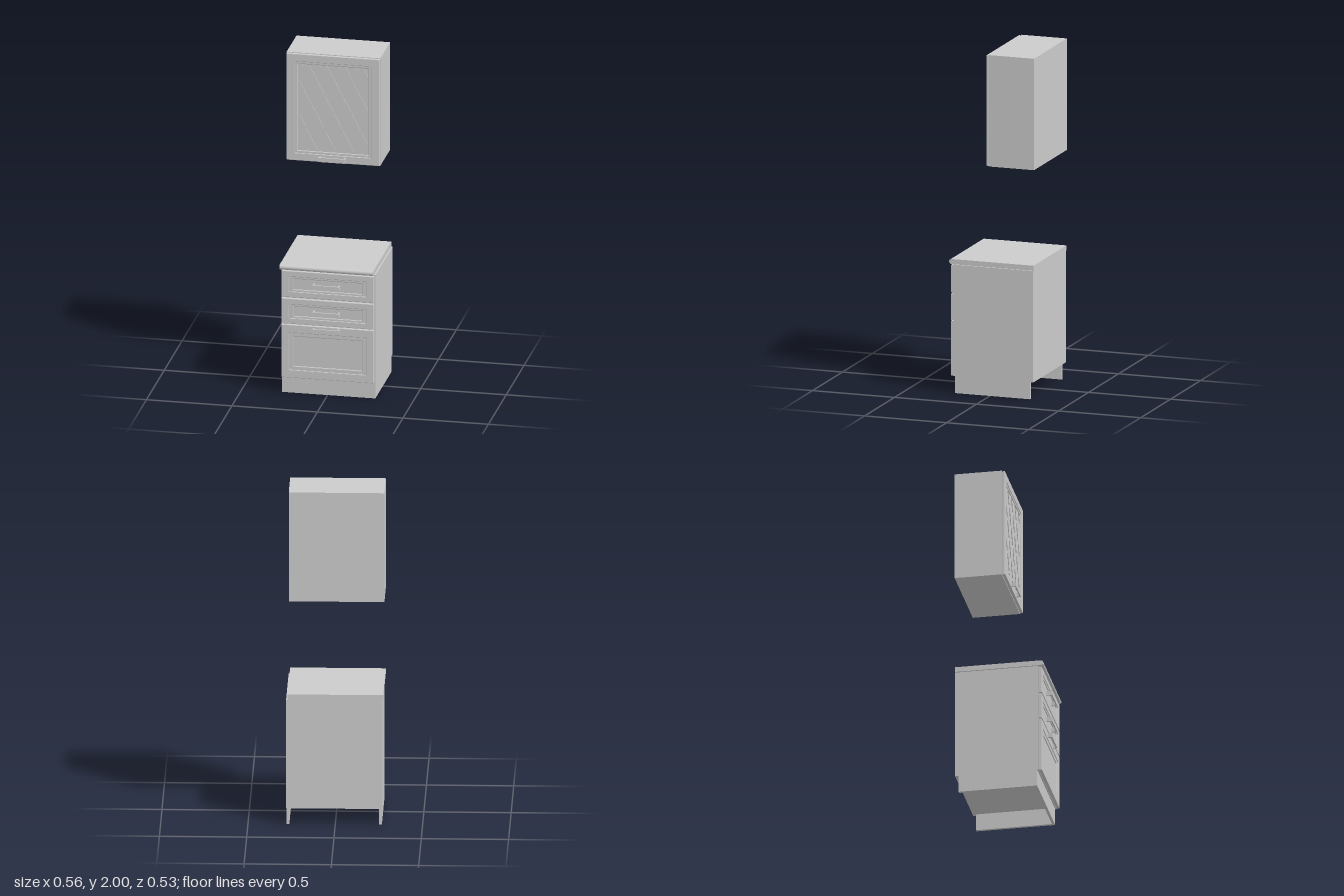
import * as THREE from 'three';

const material = new THREE.MeshStandardMaterial({ color: 0xcccccc });

function add(parent, name, geometry) {
  const mesh = new THREE.Mesh(geometry, material);
  mesh.name = name;
  parent.add(mesh);
  return mesh;
}

// Box given by its limits on each axis
function box(parent, name, x0, x1, y0, y1, z0, z1) {
  const mesh = add(parent, name, new THREE.BoxGeometry(x1 - x0, y1 - y0, z1 - z0));
  mesh.position.set((x0 + x1) / 2, (y0 + y1) / 2, (z0 + z1) / 2);
  return mesh;
}

function rectangle(PathType, x0, x1, y0, y1) {
  const path = new PathType();
  path.moveTo(x0, y0);
  path.lineTo(x1, y0);
  path.lineTo(x1, y1);
  path.lineTo(x0, y1);
  path.closePath();
  return path;
}

// Rectangular frame with chamfered edges around an opening
function frame(parent, name, [x0, x1, y0, y1], insetX, insetY, z0, z1, bevel) {
  const shape = rectangle(THREE.Shape, x0, x1, y0, y1);
  shape.holes.push(rectangle(THREE.Path, x0 + insetX, x1 - insetX, y0 + insetY, y1 - insetY));
  const geometry = new THREE.ExtrudeGeometry(shape, {
    depth: z1 - z0 - 2 * bevel, bevelEnabled: true, bevelThickness: bevel,
    bevelSize: bevel, bevelOffset: -bevel, bevelSegments: 2,
  });
  geometry.translate(0, 0, z0 + bevel);
  return add(parent, name, geometry);
}

// Panelled front: outer frame, stepped moulding and sunken centre panel
function panelFront(parent, name, rect, z0, z1, outer, inner) {
  const group = new THREE.Group();
  group.name = name;
  parent.add(group);
  const [x0, x1, y0, y1] = rect;
  frame(group, 'frontFrame', rect, outer[0], outer[1], z0, z1, 0.003);
  const step = [x0 + outer[0] - 0.004, x1 - outer[0] + 0.004, y0 + outer[1] - 0.004, y1 - outer[1] + 0.004];
  frame(group, 'innerMoulding', step, inner[0] - outer[0], inner[1] - outer[1], z0, z1 - 0.004, 0.004);
  box(group, 'centrePanel', x0 + outer[0] - 0.002, x1 - outer[0] + 0.002,
    y0 + outer[1] - 0.002, y1 - outer[1] + 0.002, z0, z1 - 0.009);
  return group;
}

// Square bracket handle: two posts and a bar
function handle(parent, x, y, z, reach) {
  const group = new THREE.Group();
  group.name = 'handle';
  group.position.set(x, y, z);
  parent.add(group);
  const half = 0.077, h = 0.013, t = 0.008;
  for (const s of [-1, 1]) {
    const post = box(group, 'handlePost', -t / 2, t / 2, -h, h, -0.003, reach);
    post.position.x = s * (half - t / 2);
  }
  box(group, 'handleBar', -half + t, half - t, -h, h, reach - t, reach);
}

// Diagonal lattice strips clipped to the door panel
function lattice(parent, cx, cy, halfW, y0, y1, z) {
  const slope = 1.95, spacing = 0.208;
  for (const s of [-1, 1]) {
    for (let k = -4; k <= 4; k++) {
      const c = cy + k * spacing;
      const lo = Math.max(-halfW, Math.min((y0 - c) / (s * slope), (y1 - c) / (s * slope)));
      const hi = Math.min(halfW, Math.max((y0 - c) / (s * slope), (y1 - c) / (s * slope)));
      if (hi - lo < 0.02) continue;
      const mid = (lo + hi) / 2;
      const length = (hi - lo) * Math.hypot(1, slope);
      const strip = add(parent, 'latticeStrip', new THREE.BoxGeometry(length, 0.008, 0.006));
      strip.position.set(cx + mid, c + s * slope * mid, z);
      strip.rotation.z = Math.atan(s * slope);
    }
  }
}

export function createModel() {
  const model = new THREE.Group();
  model.name = 'kitchenCabinets';

  // Wall cabinet
  const wall = new THREE.Group();
  wall.name = 'wallCabinet';
  model.add(wall);
  box(wall, 'wallCarcass', -0.282, 0.266, 1.345, 2, -0.265, 0.01);
  const door = panelFront(wall, 'wallDoor', [-0.278, 0.264, 1.348, 1.997], 0.01, 0.028,
    [0.049, 0.046], [0.068, 0.065]);
  lattice(door, -0.007, 1.857, 0.2, 1.42, 1.93, 0.02);
  handle(wall, -0.008, 1.371, 0.028, 0.027);

  // Base cabinet
  const base = new THREE.Group();
  base.name = 'baseCabinet';
  model.add(base);
  box(base, 'baseCarcass', -0.267, 0.281, 0.1, 0.755, -0.265, 0.22);

  // Plinth: front board and two sides, open at the back
  box(base, 'plinthFront', -0.267, 0.279, 0, 0.1, 0.197, 0.213);
  box(base, 'plinthRight', -0.267, -0.251, 0, 0.1, -0.245, 0.197);
  box(base, 'plinthLeft', 0.263, 0.279, 0, 0.1, -0.245, 0.197);

  // Worktop with a rounded front edge
  const profile = new THREE.Shape();
  profile.moveTo(0.265, 0.755);
  profile.lineTo(0.265, 0.785);
  profile.lineTo(-0.235, 0.785);
  profile.absarc(-0.235, 0.77, 0.015, Math.PI / 2, Math.PI * 1.5, false);
  profile.closePath();
  const top = new THREE.ExtrudeGeometry(profile, { depth: 0.548, bevelEnabled: false, curveSegments: 10 });
  top.rotateY(Math.PI / 2);
  top.translate(-0.275, 0, 0);
  add(base, 'worktop', top);

  // Drawer fronts: bottom, top, insets and handle height
  const drawers = [
    ['topDrawer', 0.59, 0.75, [0.046, 0.035], [0.075, 0.052], 0.668],
    ['middleDrawer', 0.428, 0.582, [0.046, 0.035], [0.075, 0.052], 0.503],
    ['bottomDrawer', 0.1, 0.422, [0.046, 0.048], [0.075, 0.075], 0.401],
  ];
  for (const [name, y0, y1, outer, inner, handleY] of drawers) {
    const front = panelFront(base, name, [-0.266, 0.275, y0, y1], 0.22, 0.24, outer, inner);
    // Handles over a sunken panel reach back to it
    const onPanel = name !== 'bottomDrawer';
    handle(front, -0.001, handleY, onPanel ? 0.231 : 0.24, onPanel ? 0.034 : 0.025);
  }

  return model;
}
